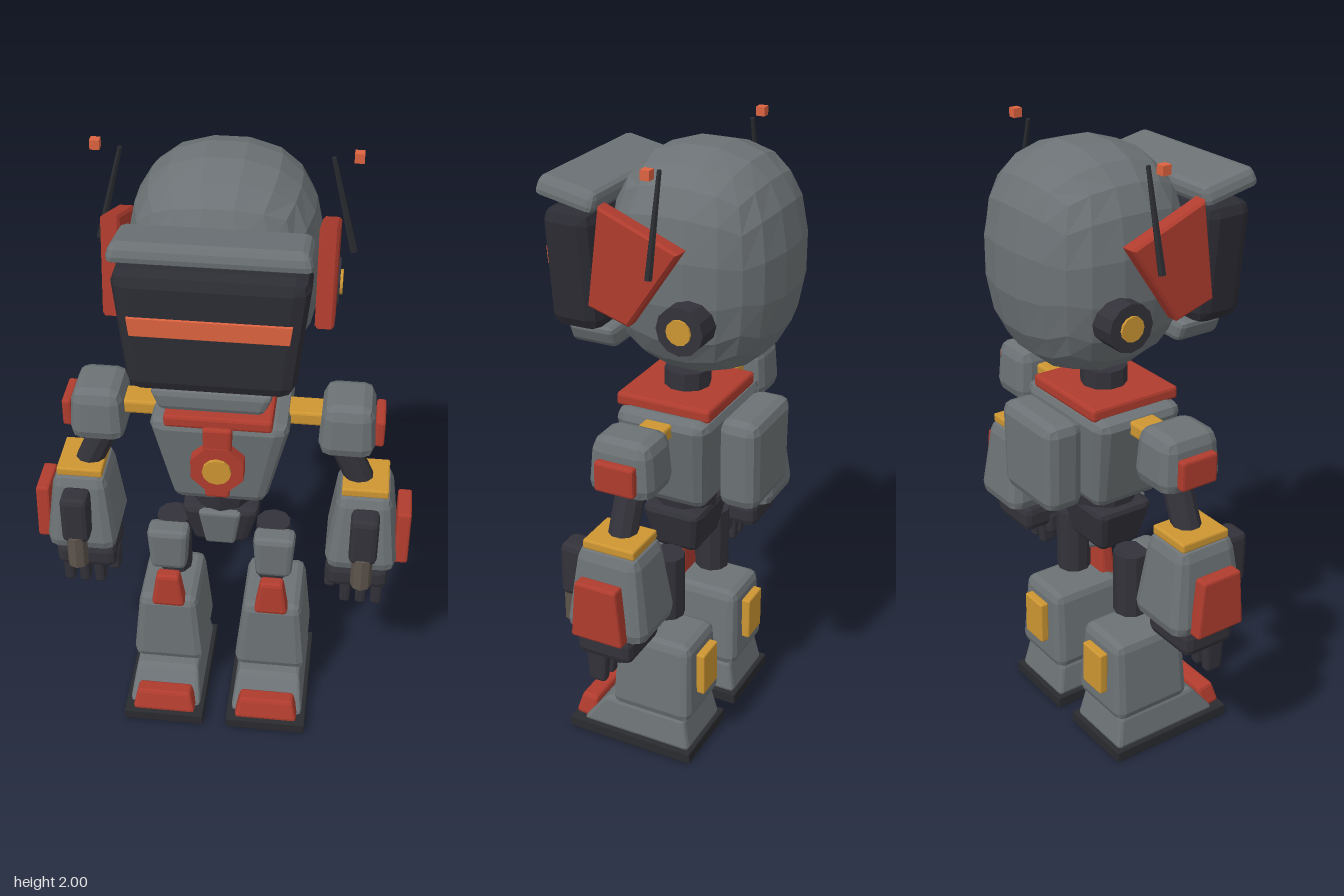
import * as THREE from 'three';
import { RoundedBoxGeometry } from 'three/addons/geometries/RoundedBoxGeometry.js';

const paint = (name, color) => {
  const m = new THREE.MeshStandardMaterial({ color });
  m.name = name;
  return m;
};

// Faceted look: unshared corners with one normal per face
function facet(geo) {
  const g = geo.index ? geo.toNonIndexed() : geo;
  g.computeVertexNormals();
  return g;
}

// Box with softened edges; tx and tz scale the top end, the bottom keeps its full size
function block(w, h, d, r = 0.015, tx = 1, tz = 1) {
  const g = new RoundedBoxGeometry(w, h, d, 1, r);
  const p = g.attributes.position;
  for (let i = 0; i < p.count; i++) {
    const t = p.getY(i) / h + 0.5;
    p.setX(i, p.getX(i) * (1 + (tx - 1) * t));
    p.setZ(i, p.getZ(i) * (1 + (tz - 1) * t));
  }
  return facet(g);
}

const rod = (rTop, rBottom, h, sides = 10) => facet(new THREE.CylinderGeometry(rTop, rBottom, h, sides));

// Helmet: a cube grid pushed out to a boxy ellipsoid
function helmet(rx, ry, rz) {
  const g = new THREE.BoxGeometry(2, 2, 2, 5, 5, 5);
  const p = g.attributes.position, e = 2.5;
  for (let i = 0; i < p.count; i++) {
    const [x, y, z] = [p.getX(i), p.getY(i), p.getZ(i)];
    const n = (Math.abs(x) ** e + Math.abs(y) ** e + Math.abs(z) ** e) ** (1 / e);
    p.setXYZ(i, (x / n) * rx, (y / n) * ry, (z / n) * rz);
  }
  return facet(g);
}

// Side plate outlined in z and y, centred on its thickness
function sidePlate(points, thickness) {
  const b = 0.008;
  const g = new THREE.ExtrudeGeometry(new THREE.Shape(points.map(([z, y]) => new THREE.Vector2(z, y))), {
    depth: thickness - 2 * b, bevelThickness: b, bevelSize: b, bevelOffset: -b, bevelSegments: 1,
  });
  g.translate(0, 0, b - thickness / 2);
  g.rotateY(-Math.PI / 2);
  return facet(g);
}

export function createModel() {
  const gray = paint('armour gray', 0x6c7275);
  const red = paint('panel red', 0xb03c2e);
  const yellow = paint('trim yellow', 0xcd9632);
  const dark = paint('joint dark', 0x33323a);
  const glass = paint('visor dark', 0x2c2c34);
  const black = paint('sole black', 0x2a2b2f);
  const orange = paint('glow orange', 0xdd6340);
  const metal = paint('barrel brown', 0x5c544c);

  const model = new THREE.Group();
  model.name = 'robot';
  const group = (name) => {
    const g = new THREE.Group();
    g.name = name;
    model.add(g);
    return g;
  };
  const add = (parent, name, geo, mat, x, y, z, rx = 0, ry = 0, rz = 0) => {
    const m = new THREE.Mesh(geo, mat);
    m.name = name;
    m.position.set(x, y, z);
    m.rotation.set(rx, ry, rz);
    parent.add(m);
    return m;
  };

  // Head
  const head = group('head');
  add(head, 'helmet', helmet(0.285, 0.34, 0.272), gray, 0, 1.65, -0.075);
  add(head, 'visor', block(0.47, 0.38, 0.165, 0.04, 1.17, 1), glass, 0, 1.62, 0.255);
  add(head, 'visorStrip', block(0.44, 0.058, 0.014, 0.002, 1.03, 1), orange, 0, 1.652, 0.337);
  add(head, 'brow', block(0.56, 0.06, 0.195, 0.02, 0.94, 0.96), gray, 0, 1.857, 0.25, -0.2);
  add(head, 'chin', block(0.3, 0.07, 0.155, 0.018, 1.2, 1), gray, 0, 1.392, 0.237);

  // Torso
  const torso = group('torso');
  add(torso, 'neck', rod(0.073, 0.073, 0.09), dark, 0, 1.232, -0.005);
  add(torso, 'collar', block(0.33, 0.042, 0.315, 0.01), red, 0, 1.2, 0);
  add(torso, 'chest', block(0.29, 0.325, 0.24, 0.03, 1.52, 1.32), gray, 0, 1.025, -0.01);
  add(torso, 'chestBar', block(0.075, 0.26, 0.06, 0.008, 1.2, 1), red, 0, 1.06, 0.143);
  add(torso, 'badgeRim', rod(0.088, 0.088, 0.06, 8), red, 0, 1.04, 0.146, Math.PI / 2, Math.PI / 8);
  add(torso, 'badgeCore', rod(0.045, 0.045, 0.03, 12), yellow, 0, 1.04, 0.173, Math.PI / 2);
  add(torso, 'backpack', block(0.27, 0.295, 0.13, 0.035, 1.05, 1), gray, 0, 1.037, -0.235);
  add(torso, 'waist', rod(0.11, 0.1, 0.08), dark, 0, 0.84, 0);
  add(torso, 'pelvis', block(0.17, 0.16, 0.15, 0.02, 1.52, 1.4), dark, 0, 0.742, 0);
  add(torso, 'pelvisPlate', block(0.095, 0.145, 0.04, 0.01, 1.45, 1), gray, 0, 0.745, 0.085, 0.16);

  for (const s of [1, -1]) {
    const side = s > 0 ? 'left' : 'right';

    // Ear panels and antenna
    const ear = group(side + 'Ear');
    add(ear, 'earPanel', sidePlate([[0.11, 1.86], [-0.14, 1.76], [0.02, 1.52], [0.15, 1.56]], 0.055), red, s * 0.303, 0, 0);
    add(ear, 'earDisc', rod(0.073, 0.073, 0.09, 12), dark, s * 0.29, 1.54, -0.145, 0, 0, Math.PI / 2);
    add(ear, 'earCore', rod(0.038, 0.038, 0.03, 12), yellow, s * 0.328, 1.54, -0.145, 0, 0, Math.PI / 2);
    add(ear, 'antenna', rod(0.007, 0.012, 0.298, 6), black, s * 0.335, 1.835, -0.07, 0, 0, s * 0.24);
    add(ear, 'antennaTip', facet(new THREE.BoxGeometry(0.028, 0.028, 0.028)), orange, s * 0.37, 1.986, -0.07);

    // Arm
    const arm = group(side + 'Arm');
    add(arm, 'shoulderLink', block(0.13, 0.046, 0.09, 0.008), yellow, s * 0.26, 1.153, -0.01);
    add(arm, 'shoulder', block(0.18, 0.18, 0.215, 0.04, 0.87, 0.87), gray, s * 0.388, 1.135, -0.015);
    add(arm, 'shoulderPlate', block(0.03, 0.095, 0.128, 0.008), red, s * 0.487, 1.122, -0.018);
    add(arm, 'upperArm', rod(0.045, 0.045, 0.19), dark, s * 0.4, 0.99, -0.01, 0, 0, s * 0.42);
    add(arm, 'elbowCuff', block(0.148, 0.03, 0.17, 0.006), yellow, s * 0.457, 0.905, -0.012);
    add(arm, 'forearm', block(0.24, 0.285, 0.275, 0.04, 0.71, 0.72), gray, s * 0.457, 0.757, -0.01);
    add(arm, 'forearmPlate', block(0.045, 0.19, 0.17, 0.008, 1, 0.8), red, s * 0.587, 0.725, -0.008);
    add(arm, 'blaster', block(0.09, 0.175, 0.085, 0.018), dark, s * 0.463, 0.777, 0.128);
    add(arm, 'barrel', rod(0.034, 0.034, 0.12, 8), metal, s * 0.463, 0.65, 0.145);
    add(arm, 'muzzle', rod(0.028, 0.028, 0.006, 8), orange, s * 0.463, 0.588, 0.145);
    add(arm, 'palm', block(0.2, 0.09, 0.185, 0.025), dark, s * 0.45, 0.567, 0.005);
    for (const x of [0.415, 0.467, 0.519]) {
      add(arm, 'finger', block(0.034, 0.12, 0.055, 0.01, 1.15, 1.35), dark, s * x, 0.485, 0.037);
    }
    add(arm, 'thumb', block(0.038, 0.082, 0.06, 0.012), dark, s * 0.363, 0.53, 0.035);

    // Leg
    const leg = group(side + 'Leg');
    add(leg, 'thigh', rod(0.057, 0.057, 0.22), dark, s * 0.165, 0.583, -0.015);
    add(leg, 'thighPlate', block(0.118, 0.16, 0.075, 0.018, 1.18, 1.1), gray, s * 0.175, 0.615, 0.055);
    add(leg, 'kneePlate', block(0.115, 0.13, 0.06, 0.014, 0.66, 0.75), red, s * 0.173, 0.464, 0.1);
    add(leg, 'shin', block(0.25, 0.28, 0.285, 0.03, 0.78, 0.92), gray, s * 0.175, 0.283, -0.012);
    add(leg, 'calfPlate', block(0.1, 0.15, 0.03, 0.005), yellow, s * 0.175, 0.305, -0.162);

    // Foot, with its top pulled back for a sloping instep
    const instep = block(0.245, 0.115, 0.4, 0.015, 0.86, 0.72);
    instep.applyMatrix4(new THREE.Matrix4().makeShear(0, 0, 0, -0.28, 0, 0));
    facet(instep);
    add(leg, 'foot', instep, gray, s * 0.175, 0.09, 0.03);
    add(leg, 'toeCap', block(0.215, 0.078, 0.08, 0.012, 0.84, 0.7), red, s * 0.175, 0.077, 0.235, -0.12);
    add(leg, 'sole', block(0.27, 0.04, 0.45, 0.004), black, s * 0.175, 0.02, 0.06);
  }
  return model;
}
